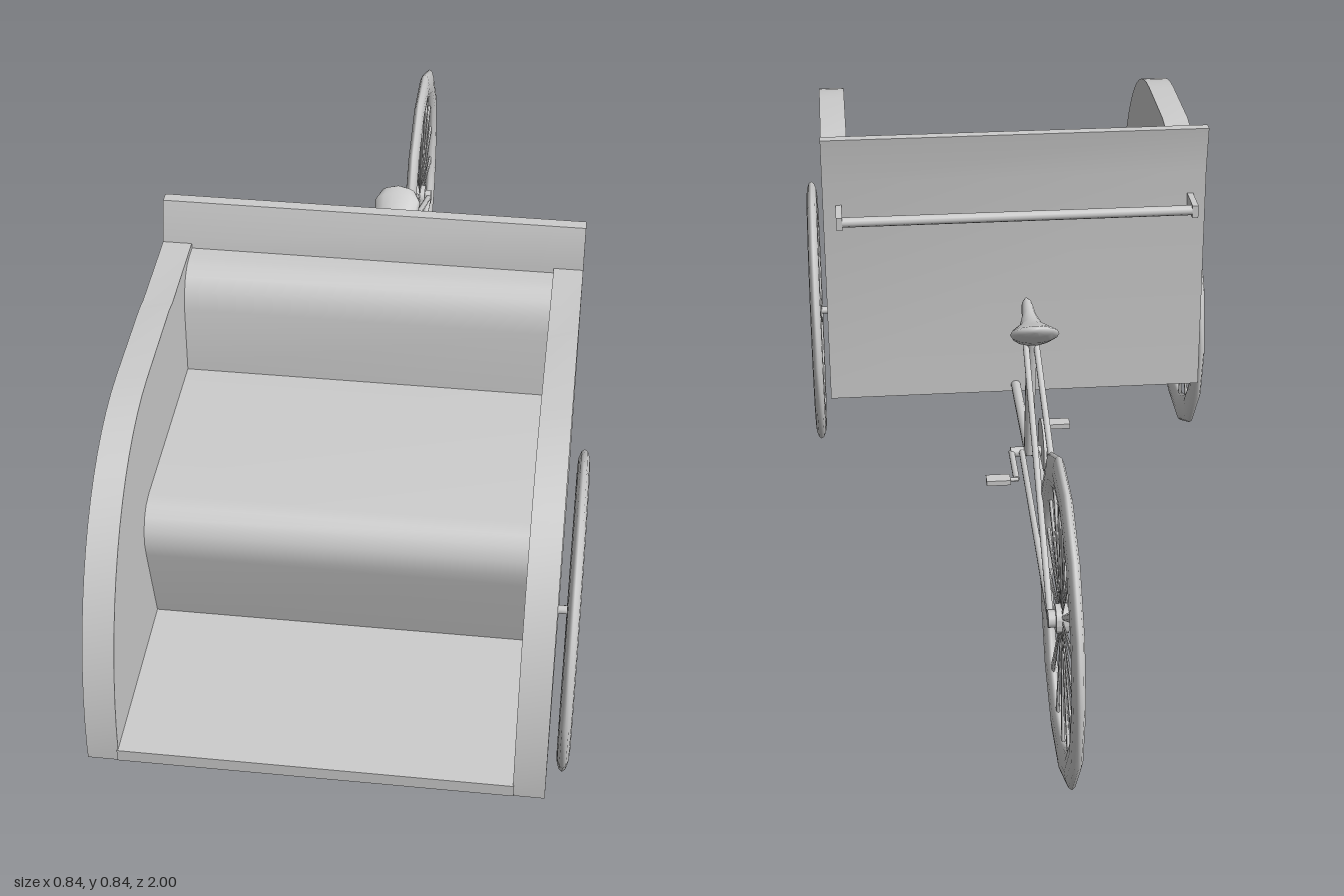
import * as THREE from 'three';
import { toCreasedNormals } from 'three/addons/utils/BufferGeometryUtils.js';

const grey = new THREE.MeshStandardMaterial({ color: 0xcccccc });
grey.name = 'light grey';

function add(parent, name, geometry) {
  const mesh = new THREE.Mesh(geometry, grey);
  mesh.name = name;
  parent.add(mesh);
  return mesh;
}

// Extrudes a side profile drawn in (z, y) across x, centred on cx
function slab(profile, width, cx = 0) {
  const shape = profile instanceof THREE.Shape ? profile
    : new THREE.Shape(profile.map(([z, y]) => new THREE.Vector2(z, y)));
  const g = new THREE.ExtrudeGeometry(shape, { depth: width, bevelEnabled: false, curveSegments: 16 });
  g.rotateY(-Math.PI / 2);
  g.translate(cx + width / 2, 0, 0);
  return toCreasedNormals(g, 0.6);
}

// Round bar between two points
function rod(parent, name, a, b, r0, r1 = r0, sides = 10) {
  const from = new THREE.Vector3(...a), to = new THREE.Vector3(...b);
  const dir = to.clone().sub(from);
  const mesh = add(parent, name, new THREE.CylinderGeometry(r1, r0, dir.length(), sides));
  mesh.position.copy(from).add(to).multiplyScalar(0.5);
  mesh.quaternion.setFromUnitVectors(new THREE.Vector3(0, 1, 0), dir.normalize());
  return mesh;
}

const AXLE_Y = 0.287;

// Spoked wheel turning about x
function wheel(name, x, z) {
  const g = new THREE.Group();
  g.name = name;
  const tyre = new THREE.TorusGeometry(0.258, 0.032, 12, 14);
  tyre.scale(1, 1, 0.36);
  tyre.rotateY(Math.PI / 2);
  add(g, 'tyre', tyre);
  const hub = new THREE.CylinderGeometry(0.026, 0.026, 0.022, 16);
  hub.rotateZ(Math.PI / 2);
  add(g, 'hub', toCreasedNormals(hub, 0.6));
  const count = 16;
  for (let i = 0; i < count; i++) {
    const spoke = new THREE.CylinderGeometry(0.012, 0.004, 0.215, 6);
    spoke.scale(0.3, 1, 1);
    spoke.translate(0, 0.128, 0);
    spoke.rotateX(((i + 0.5) / count) * Math.PI * 2);
    add(g, 'spoke', spoke);
  }
  g.position.set(x, AXLE_Y, z);
  return g;
}

// Saddle skin lofted through rings: z, half width, bottom y, top y
function saddleGeometry() {
  const rings = [
    [-0.062, 0.003, 0.588, 0.594], [-0.075, 0.010, 0.574, 0.597],
    [-0.12, 0.014, 0.566, 0.594], [-0.165, 0.024, 0.556, 0.596],
    [-0.2, 0.042, 0.558, 0.606], [-0.23, 0.046, 0.578, 0.616],
    [-0.247, 0.034, 0.598, 0.622], [-0.254, 0.008, 0.61, 0.62],
  ];
  const n = 14, pos = [], index = [];
  for (const [z, w, lo, hi] of rings) {
    for (let j = 0; j < n; j++) {
      const a = (j / n) * Math.PI * 2;
      pos.push(w * Math.cos(a), (lo + hi) / 2 + ((hi - lo) / 2) * Math.sin(a), z);
    }
  }
  for (let i = 0; i < rings.length - 1; i++) {
    for (let j = 0; j < n; j++) {
      const a = i * n + j, b = i * n + ((j + 1) % n);
      index.push(a, a + n, b, b, a + n, b + n);
    }
  }
  const last = (rings.length - 1) * n;
  for (let j = 1; j < n - 1; j++) {
    index.push(0, j, j + 1, last, last + j + 1, last + j);
  }
  const g = new THREE.BufferGeometry();
  g.setAttribute('position', new THREE.Float32BufferAttribute(pos, 3));
  g.setIndex(index);
  g.computeVertexNormals();
  return g;
}

function carriage() {
  const g = new THREE.Group();
  g.name = 'carriage';

  // Curved side walls
  const side = new THREE.Shape();
  side.moveTo(0.172, 0.273);
  side.lineTo(0.998, 0.273);
  side.lineTo(0.998, 0.3);
  side.bezierCurveTo(0.985, 0.57, 0.83, 0.774, 0.6, 0.775);
  side.lineTo(0.41, 0.775);
  side.lineTo(0.38, 0.77);
  side.lineTo(0.172, 0.77);
  for (const s of [-1, 1]) add(g, s > 0 ? 'leftWall' : 'rightWall', slab(side, 0.053, s * 0.3565));

  add(g, 'floor', slab([[0.18, 0.274], [1, 0.274], [1, 0.298], [0.18, 0.298]], 0.664));
  add(g, 'backPanel', slab([[0.17, 0.273], [0.2, 0.273], [0.2, 0.77], [0.176, 0.845],
    [0.155, 0.845], [0.17, 0.75]], 0.766));

  // Upholstered backrest and bench
  add(g, 'backrest', slab([[0.19, 0.5], [0.305, 0.5], [0.3, 0.565], [0.293, 0.69], [0.284, 0.722],
    [0.268, 0.745], [0.248, 0.757], [0.228, 0.76], [0.19, 0.76]], 0.664));
  add(g, 'bench', slab([[0.19, 0.29], [0.665, 0.29], [0.708, 0.47], [0.713, 0.5], [0.709, 0.525],
    [0.697, 0.547], [0.68, 0.56], [0.655, 0.565], [0.19, 0.555]], 0.664));

  // Push bar behind the back panel
  rod(g, 'pushBar', [-0.357, 0.69, 0.112], [0.357, 0.69, 0.112], 0.01);
  for (const s of [-1, 1]) {
    const bracket = add(g, 'pushBarBracket', new THREE.BoxGeometry(0.012, 0.026, 0.07));
    bracket.position.set(s * 0.352, 0.69, 0.137);
  }
  rod(g, 'frontAxle', [-0.41, AXLE_Y, 0.572], [0.41, AXLE_Y, 0.572], 0.008);
  return g;
}

function cycleFrame() {
  const g = new THREE.Group();
  g.name = 'cycleFrame';
  const crankZ = -0.118, rearZ = -0.71;
  rod(g, 'mainTube', [0, 0.287, 0.2], [0, 0.29, crankZ], 0.01);
  rod(g, 'seatTube', [0, 0.285, -0.12], [0, 0.575, -0.168], 0.01);
  for (const s of [-1, 1]) {
    rod(g, 'chainStay', [s * 0.014, 0.29, crankZ], [s * 0.019, AXLE_Y, rearZ], 0.006);
    rod(g, 'seatStay', [s * 0.01, 0.54, -0.163], [s * 0.019, AXLE_Y, rearZ], 0.006);
    // Crank arm and pedal, opposite on each side
    const pedalZ = crankZ - s * 0.108;
    rod(g, 'crankArm', [s * 0.034, 0.288, crankZ], [s * 0.034, 0.288, pedalZ], 0.006);
    rod(g, 'pedalAxle', [s * 0.03, 0.288, pedalZ], [s * 0.09, 0.288, pedalZ], 0.004);
    const pedal = add(g, 'pedal', new THREE.BoxGeometry(0.046, 0.01, 0.026));
    pedal.position.set(s * 0.069, 0.288, pedalZ);
  }
  rod(g, 'crankAxle', [-0.036, 0.288, crankZ], [0.036, 0.288, crankZ], 0.01);
  rod(g, 'rearAxle', [-0.024, AXLE_Y, rearZ], [0.024, AXLE_Y, rearZ], 0.016);
  rod(g, 'chainring', [-0.03, 0.29, crankZ], [-0.024, 0.29, crankZ], 0.062, 0.062, 24);
  add(g, 'saddle', saddleGeometry());
  return g;
}

export function createModel() {
  const model = new THREE.Group();
  model.name = 'passengerTricycle';
  model.add(carriage(), cycleFrame());
  model.add(wheel('frontLeftWheel', 0.409, 0.572));
  model.add(wheel('frontRightWheel', -0.409, 0.572));
  model.add(wheel('rearWheel', 0, -0.71));
  return model;
}
